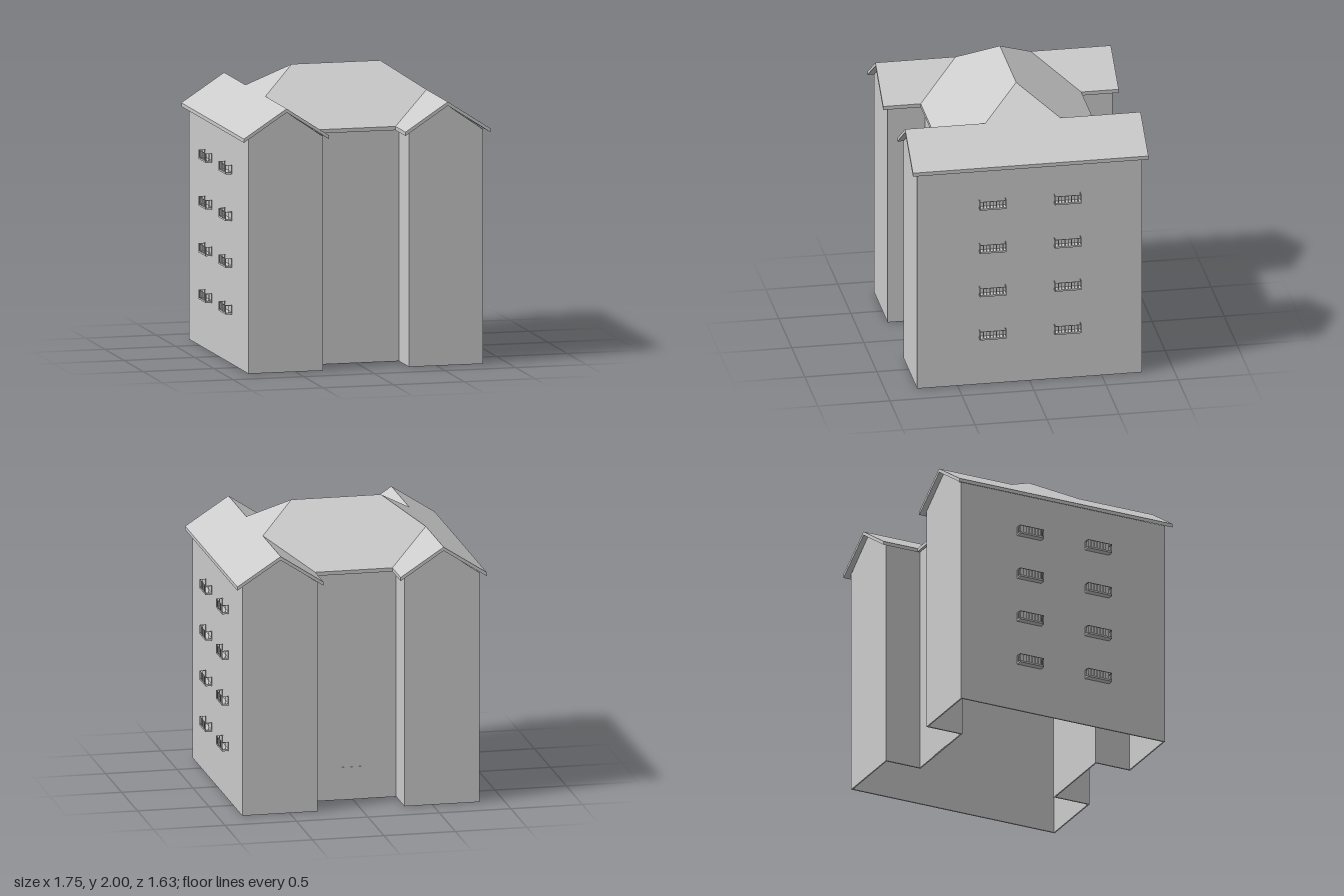
import * as THREE from 'three';
import { mergeGeometries } from 'three/addons/utils/BufferGeometryUtils.js';

const mat = new THREE.MeshStandardMaterial({ color: 0xcccccc, flatShading: true, side: THREE.DoubleSide });
const V = (x, y) => new THREE.Vector2(x, y);

function add(parent, geometry, name) {
  const mesh = new THREE.Mesh(geometry, mat);
  mesh.name = name;
  parent.add(mesh);
  return mesh;
}

function box(w, h, d, x, y, z) {
  return new THREE.BoxGeometry(w, h, d).translate(x, y, z);
}

// Sloping roof slab: a polygon of [x, y, z] corners with vertical thickness t
function slab(pts, t) {
  let flat = pts.map(([x, , z]) => V(x, -z));
  if (THREE.ShapeUtils.area(flat) < 0) {
    pts = [...pts].reverse();
    flat = flat.reverse();
  }
  const low = pts.map(([x, y, z]) => [x, y - t, z]);
  const pos = [];
  const tri = (a, b, c) => pos.push(...a, ...b, ...c);
  for (const [a, b, c] of THREE.ShapeUtils.triangulateShape(flat, [])) {
    tri(pts[a], pts[b], pts[c]);
    tri(low[a], low[c], low[b]);
  }
  pts.forEach((p, i) => {
    const j = (i + 1) % pts.length;
    tri(low[i], low[j], pts[j]);
    tri(low[i], pts[j], p);
  });
  const g = new THREE.BufferGeometry();
  g.setAttribute('position', new THREE.Float32BufferAttribute(pos, 3));
  g.computeVertexNormals();
  return g;
}

// H-shaped floor plan, shrunk inward by d
function plan(d) {
  const X = 0.83 - d, Z = 0.78 - d, x = 0.305 + d, z = 0.52 - d;
  return [V(-X, -Z), V(-x, -Z), V(-x, -z), V(x, -z), V(x, -Z), V(X, -Z),
    V(X, Z), V(x, Z), V(x, z), V(-x, z), V(-x, Z), V(-X, Z)];
}

// Balcony with floor, railing posts and hand rail; wall at x = 0, projecting to +x
function balconyGeometry() {
  const w = 0.184, d = 0.046, h = 0.064, b = 0.004;
  const parts = [
    box(d, 0.012, w, d / 2, 0.006, 0),
    box(b, b, w, d - b / 2, h - b / 2, 0),
  ];
  for (const s of [-1, 1]) {
    const z = s * (w - b) / 2;
    parts.push(box(d, b, b, d / 2, h - b / 2, z));
    for (const x of [0.003, d / 2]) parts.push(box(b, h, b, x, h / 2, z));
  }
  for (let i = 0; i <= 8; i++) {
    parts.push(box(b, h, b, d - b / 2, h / 2, (i / 8 - 0.5) * (w - b)));
  }
  return mergeGeometries(parts);
}

export function createModel() {
  const model = new THREE.Group();
  model.name = 'apartmentBlock';

  // Hollow wall shell, one ring per storey, open underneath
  const storey = 0.323;
  const walls = new THREE.Group();
  walls.name = 'walls';
  model.add(walls);
  for (let i = 0; i < 5; i++) {
    const shape = new THREE.Shape(plan(0));
    shape.holes.push(new THREE.Path(plan(0.01)));
    const depth = i === 4 ? 1.625 - 4 * storey : storey;
    const g = new THREE.ExtrudeGeometry(shape, { depth, bevelEnabled: false });
    add(walls, g.rotateX(-Math.PI / 2).translate(0, i * storey, 0), 'storeyWalls');
  }

  // Gable ends under the wing roofs
  for (const sx of [-1, 1]) {
    for (const sz of [-1, 1]) {
      const shape = new THREE.Shape([V(sx * 0.305, 1.62), V(sx * 0.83, 1.62), V(sx * 0.57, 1.802)]);
      const g = new THREE.ExtrudeGeometry(shape, { depth: 0.01, bevelEnabled: false });
      add(walls, g.translate(0, 0, sz > 0 ? 0.77 : -0.78), 'gable');
    }
  }

  // Roof: two ridged wings joined by a higher cross roof with hipped ends
  const roof = new THREE.Group();
  roof.name = 'roof';
  model.add(roof);
  const e = 1.63, r = 1.827, t = 0.026, Z = 0.817;
  for (const s of [-1, 1]) {
    add(roof, slab([
      [s * 0.873, e, Z], [s * 0.873, e, -Z], [s * 0.57, r, -Z], [s * 0.57, r, -0.26],
      [s * 0.313, 2, 0], [s * 0.57, r, 0.26], [s * 0.57, r, Z],
    ], t), 'outerWingSlope');
    for (const q of [-1, 1]) {
      add(roof, slab([
        [s * 0.57, r, q * Z], [s * 0.57, r, q * 0.26],
        [s * 0.27, e, q * 0.557], [s * 0.27, e, q * Z],
      ], t), 'innerWingSlope');
    }
    add(roof, slab([
      [-0.27, e, s * 0.557], [0.27, e, s * 0.557], [0.57, r, s * 0.26],
      [0.313, 2, 0], [-0.313, 2, 0], [-0.57, r, s * 0.26],
    ], t), 'crossRoofSlope');
  }

  // Balconies on both long sides of the four upper storeys
  const balconies = new THREE.Group();
  balconies.name = 'balconies';
  model.add(balconies);
  const balcony = balconyGeometry();
  for (const s of [-1, 1]) {
    for (const z of [-0.26, 0.26]) {
      for (let i = 1; i < 5; i++) {
        const m = add(balconies, balcony, 'balcony');
        m.position.set(s * 0.83, 0.022 + i * storey, z);
        if (s < 0) m.rotation.y = Math.PI;
      }
    }
  }

  // Entrance door in the back courtyard
  add(model, box(0.2, 0.23, 0.004, 0, 0.115, -0.521), 'backDoor');

  return model;
}
